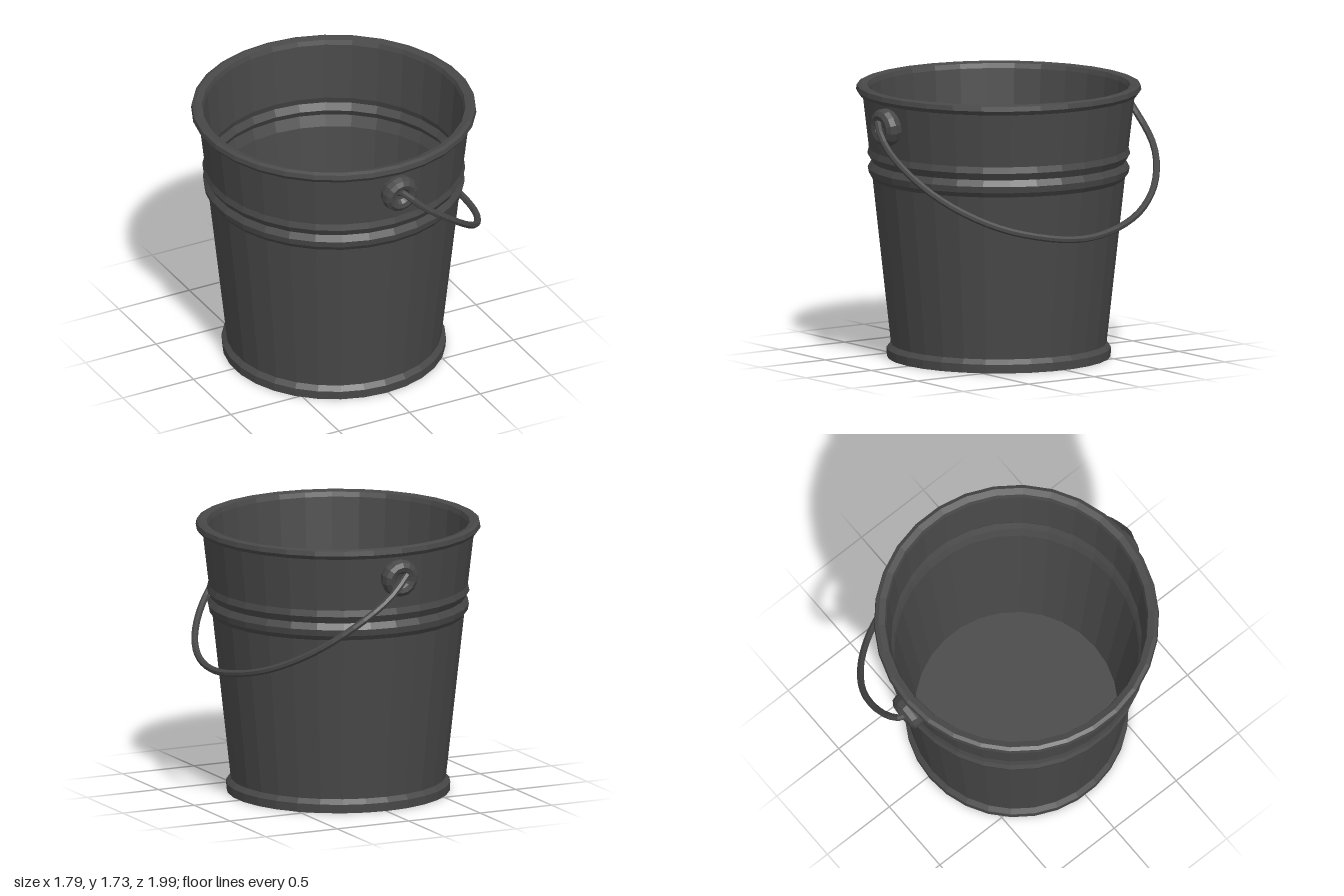
import * as THREE from 'three';

const metal = new THREE.MeshStandardMaterial({ color: 0x484848, flatShading: true });
metal.name = 'darkMetal';

const profile = (pairs) => pairs.map(([r, y]) => new THREE.Vector2(r, y));

function part(name, geometry) {
  const mesh = new THREE.Mesh(geometry, metal);
  mesh.name = name;
  return mesh;
}

export function createModel() {
  const model = new THREE.Group();
  model.name = 'bucket';

  // Pail: underside, foot ring, outer wall with two beads, rolled rim, inner wall, floor
  const pail = part('pail', new THREE.LatheGeometry(profile([
    [0, 0.05], [0.645, 0.05], [0.65, 0], [0.7, 0], [0.703, 0.055], [0.675, 0.085],
    [0.79, 1.13], [0.812, 1.16], [0.82, 1.2], [0.797, 1.24], [0.823, 1.285], [0.813, 1.325],
    [0.852, 1.66], [0.875, 1.665], [0.893, 1.69], [0.888, 1.72], [0.865, 1.73], [0.825, 1.72],
    [0.815, 1.69], [0.785, 1.325], [0.797, 1.285], [0.772, 1.24], [0.793, 1.2], [0.765, 1.13],
    [0.635, 0.09], [0, 0.09],
  ]), 30));
  pail.position.set(-0.015, 0, 0.015);
  model.add(pail);

  // Dished round lugs, square to the sloping wall at front and back
  const lugProfile = profile([
    [0.11, -0.03], [0.122, 0.02], [0.112, 0.055], [0.085, 0.073],
    [0.055, 0.065], [0.035, 0.04], [0, 0.035],
  ]);
  for (const side of [1, -1]) {
    const pivot = new THREE.Group();
    pivot.name = side > 0 ? 'frontLug' : 'backLug';
    pivot.position.set(-0.01, 1.53, 0.015);
    if (side < 0) pivot.rotation.y = Math.PI;
    const lug = part('lug', new THREE.LatheGeometry(lugProfile, 14));
    lug.rotation.x = Math.PI / 2 + 0.11;
    lug.position.z = 0.85;
    pivot.add(lug);
    model.add(pivot);
  }

  // Wire handle resting against the left side: half path [x, y, z], mirrored in z
  const half = [
    [-0.03, 1.53, 0.87], [-0.02, 1.56, 0.935], [0.12, 1.43, 0.972], [0.33, 1.27, 0.935],
    [0.54, 1.1, 0.79], [0.72, 0.96, 0.55], [0.83, 0.885, 0.28],
  ];
  const path = [
    ...half.map(([x, y, z]) => new THREE.Vector3(x, y, z)),
    new THREE.Vector3(0.87, 0.855, 0),
    ...half.slice().reverse().map(([x, y, z]) => new THREE.Vector3(x, y, -z)),
  ];
  model.add(part('handle', new THREE.TubeGeometry(
    new THREE.CatmullRomCurve3(path, false, 'centripetal'), 44, 0.022, 7)));

  return model;
}
